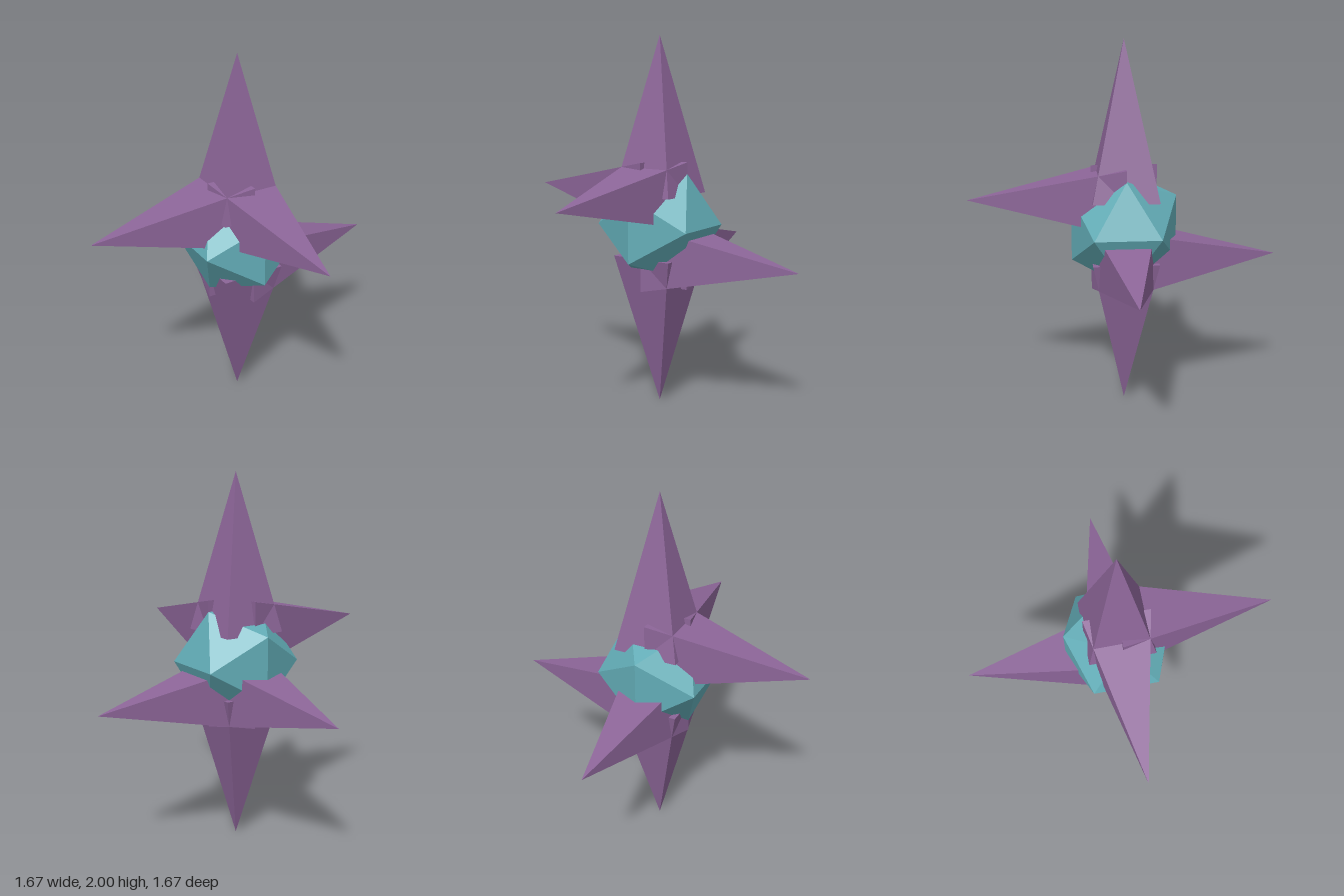
import * as THREE from 'three';

const RADIUS = 1 / 3;        // core radius
const OFFSET = 1 / 6;        // height of the spike bases above and below the centre
const SPIKE_LENGTH = 5 / 6;
const SPIKE_RADIUS = 0.25;   // to the corners of the square base

export function createModel() {
  const teal = new THREE.MeshStandardMaterial({ color: 0x62acb6 });
  teal.name = 'teal';
  const purple = new THREE.MeshStandardMaterial({ color: 0x8c6598 });
  purple.name = 'purple';

  const model = new THREE.Group();
  model.name = 'spikedCrystal';

  // Faceted core
  const core = new THREE.Mesh(new THREE.IcosahedronGeometry(RADIUS, 0), teal);
  core.name = 'core';
  core.position.y = 1;
  model.add(core);

  // Square pyramid with its base at the origin, pointing up, with flat faces
  const pyramid = new THREE.ConeGeometry(SPIKE_RADIUS, SPIKE_LENGTH, 4)
    .rotateY(Math.PI / 4)
    .translate(0, SPIKE_LENGTH / 2, 0)
    .toNonIndexed();
  pyramid.computeVertexNormals();

  // Each spike: name, side of the centre it starts from, turn about x and z
  const q = Math.PI / 2;
  const spikes = [
    ['topSpike', 1, 0, 0],
    ['bottomSpike', -1, Math.PI, 0],
    ['frontSpike', 1, q, 0],
    ['backSpike', -1, -q, 0],
    ['rightSpike', 1, 0, q],
    ['leftSpike', -1, 0, -q],
  ];
  for (const [name, side, turnX, turnZ] of spikes) {
    const spike = new THREE.Mesh(pyramid, purple);
    spike.name = name;
    spike.position.y = 1 + side * OFFSET;
    spike.rotation.set(turnX, 0, turnZ);
    model.add(spike);
  }

  return model;
}
